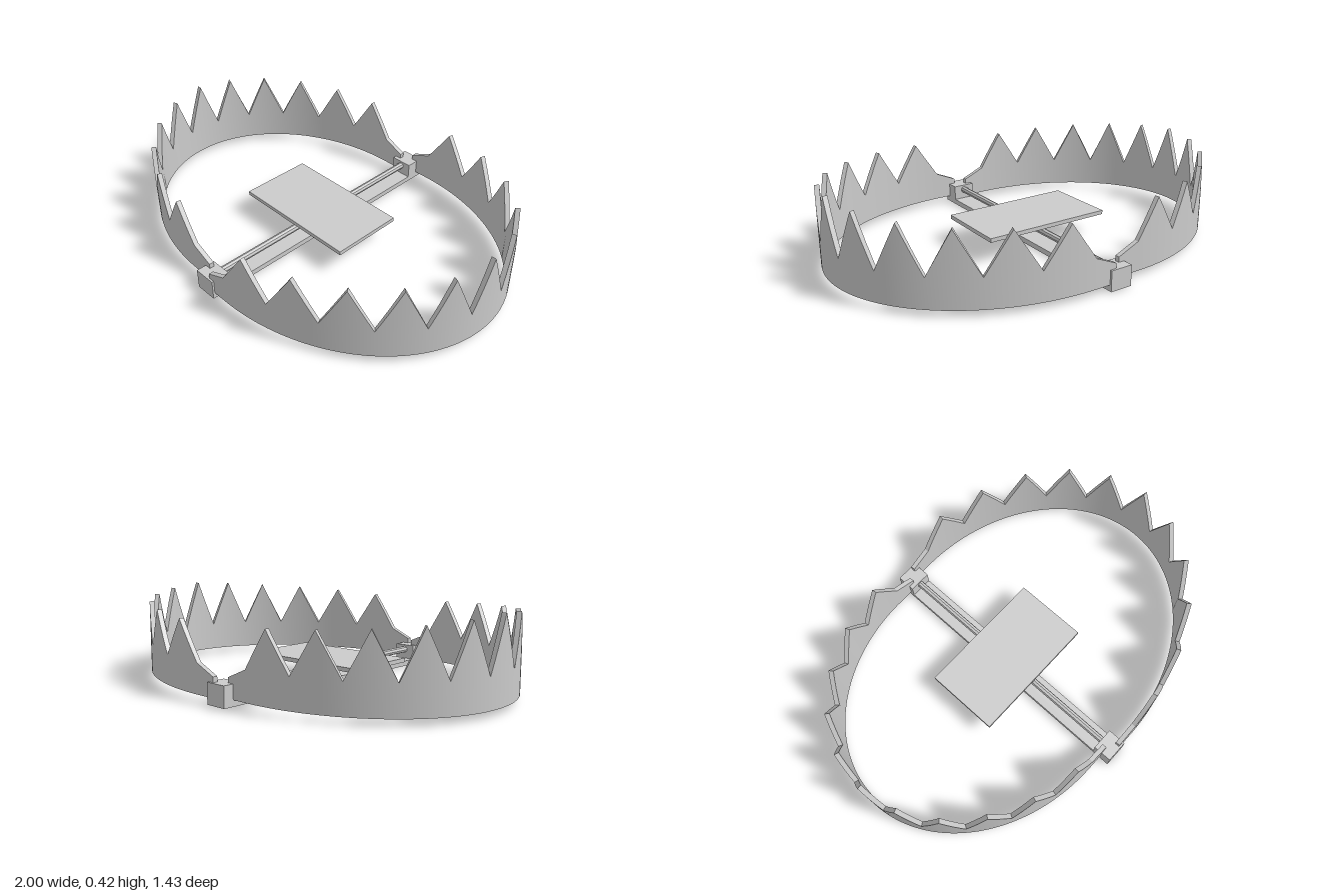
import * as THREE from 'three';
import { toCreasedNormals } from 'three/addons/utils/BufferGeometryUtils.js';

const material = new THREE.MeshStandardMaterial({ color: 0xcccccc });

const TEETH = 11;
const STEPS = 4; // sections per half tooth
const BOTTOM = 0.03, VALLEY = 0.172, HINGE = 0.125, HALF_THICKNESS = 0.0115;

// Curved band with a saw-tooth top edge: half an ellipse plus a straight tab at each end
function jawGeometry(cx, a, b, tabEnd) {
  const sections = [];
  const addSection = (x, z, nx, nz, top) => {
    const ox = nx * HALF_THICKNESS, oz = nz * HALF_THICKNESS;
    sections.push([
      [x + ox, BOTTOM, z + oz], [x + ox, top, z + oz],
      [x - ox, top, z - oz], [x - ox, BOTTOM, z - oz],
    ]);
  };

  addSection(tabEnd, -b, 0, -1, HINGE);
  const count = TEETH * 2 * STEPS;
  for (let i = 0; i <= count; i++) {
    const t = -Math.PI / 2 + (Math.PI * i) / count;
    const normal = new THREE.Vector2(Math.cos(t) / a, Math.sin(t) / b).normalize();
    // teeth shrink from the middle of the jaw toward the hinges
    const toothIndex = Math.min(Math.floor(i / (2 * STEPS)), TEETH - 1);
    const tip = 0.42 - 0.013 * Math.abs(toothIndex - (TEETH - 1) / 2);
    const rise = 1 - Math.abs((i - toothIndex * 2 * STEPS) / STEPS - 1);
    addSection(cx + a * Math.cos(t), b * Math.sin(t), normal.x, normal.y,
      VALLEY + (tip - VALLEY) * rise);
  }
  addSection(tabEnd, b, 0, 1, HINGE);

  const positions = [];
  const quad = (p, q, r, s) => positions.push(...p, ...q, ...r, ...p, ...r, ...s);
  for (let i = 0; i < sections.length - 1; i++) {
    const s = sections[i], n = sections[i + 1];
    for (let j = 0; j < 4; j++) {
      const k = (j + 1) % 4;
      quad(s[j], s[k], n[k], n[j]);
    }
  }
  // end caps
  const first = sections[0], last = sections[sections.length - 1];
  quad(first[3], first[2], first[1], first[0]);
  quad(last[0], last[1], last[2], last[3]);

  const geometry = new THREE.BufferGeometry();
  geometry.setAttribute('position', new THREE.Float32BufferAttribute(positions, 3));
  return toCreasedNormals(geometry, 0.4);
}

export function createModel() {
  const group = new THREE.Group();
  const add = (name, geometry, x = 0, y = 0, z = 0) => {
    const mesh = new THREE.Mesh(geometry, material);
    mesh.name = name;
    mesh.position.set(x, y, z);
    group.add(mesh);
    return mesh;
  };
  const axisX = -0.035;

  // toothed jaws; the right one is narrower so it nests inside the left one
  add('leftJaw', jawGeometry(0.098, 0.886, 0.694, -0.01));
  add('rightJaw', jawGeometry(0.168, 0.82, 0.653, 0.06)).rotation.y = Math.PI;

  // base bar with a hinge block at each end
  add('baseBar', new THREE.BoxGeometry(0.112, 0.026, 1.43), axisX, 0.013, 0);
  for (const side of [1, -1]) {
    add(side > 0 ? 'frontHingeBlock' : 'backHingeBlock',
      new THREE.BoxGeometry(0.112, 0.1, 0.094), axisX, 0.05, side * 0.668);
  }

  // hinge rod between the blocks
  const rod = new THREE.CylinderGeometry(0.017, 0.017, 1.26, 8);
  rod.rotateX(Math.PI / 2);
  add('hingeRod', toCreasedNormals(rod, 0.4), axisX, 0.075, 0);

  // trigger plate
  add('triggerPlate', new THREE.BoxGeometry(0.66, 0.02, 0.37), axisX, 0.12, -0.004);

  return group;
}
